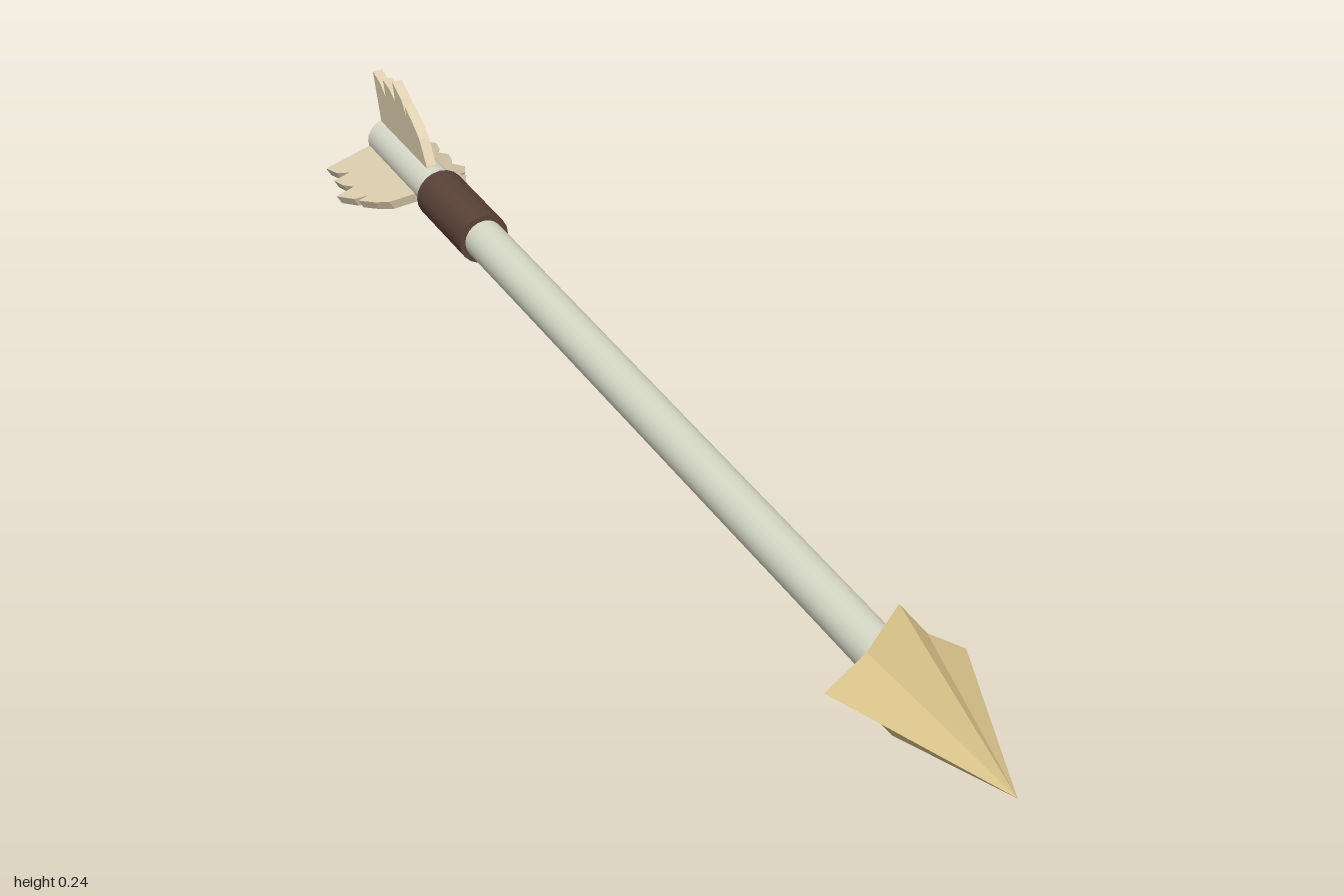
import * as THREE from 'three';

const AXIS_Y = 0.108;

function mesh(name, geometry, color, flat = false) {
  const m = new THREE.Mesh(geometry, new THREE.MeshStandardMaterial({ color, flatShading: flat }));
  m.name = name;
  return m;
}

// Cylinder lying along z between two depths
function rod(name, radius, zBack, zFront, color) {
  const g = new THREE.CylinderGeometry(radius, radius, zFront - zBack, 20);
  g.rotateX(Math.PI / 2).translate(0, 0, (zBack + zFront) / 2);
  return mesh(name, g, color);
}

// Four-pointed star pyramid: an eight-sided cone with every other base corner pulled in
function headGeometry() {
  const outer = 0.107, inner = 0.064, length = 0.295;
  const g = new THREE.ConeGeometry(outer, length, 8);
  const p = g.attributes.position;
  for (let i = 0; i < p.count; i++) {
    const x = p.getX(i), z = p.getZ(i);
    if (Math.abs(x) > 0.01 && Math.abs(z) > 0.01) {
      p.setX(i, x * inner / outer);
      p.setZ(i, z * inner / outer);
    }
  }
  return g.rotateX(Math.PI / 2).translate(0, 0, 1 - length / 2);
}

// Ragged feather outline: [distance behind the centre, distance from the axis]
function featherGeometry() {
  const outline = [
    [0.78, 0.02], [0.785, 0.035], [0.81, 0.072], [0.835, 0.09], [0.868, 0.108],
    [0.862, 0.09], [0.88, 0.112], [0.917, 0.13], [0.908, 0.098],
    [0.93, 0.11], [0.958, 0.116], [0.948, 0.088],
    [0.97, 0.104], [1.0, 0.112], [0.972, 0.03], [0.965, 0.02],
  ];
  const shape = new THREE.Shape(outline.map(([d, r]) => new THREE.Vector2(d, r)));
  const thickness = 0.017;
  const g = new THREE.ExtrudeGeometry(shape, { depth: thickness, bevelEnabled: false });
  return g.translate(0, 0, -thickness / 2).rotateY(Math.PI / 2);
}

export function createModel() {
  const group = new THREE.Group();
  const arrow = new THREE.Group();
  arrow.name = 'arrow';
  arrow.position.y = AXIS_Y;
  group.add(arrow);

  arrow.add(rod('shaft', 0.033, -0.975, 0.72, 0xd9dbc9));
  arrow.add(rod('gripWrap', 0.042, -0.75, -0.58, 0x5a4238));
  arrow.add(mesh('arrowhead', headGeometry(), 0xdcc68c, true));

  // Three feathers spaced evenly around the shaft, one pointing up
  const feather = featherGeometry();
  for (let i = 0; i < 3; i++) {
    const f = mesh('feather' + (i + 1), feather, 0xdfd0b0, true);
    f.rotation.z = i * Math.PI * 2 / 3;
    arrow.add(f);
  }
  return group;
}
